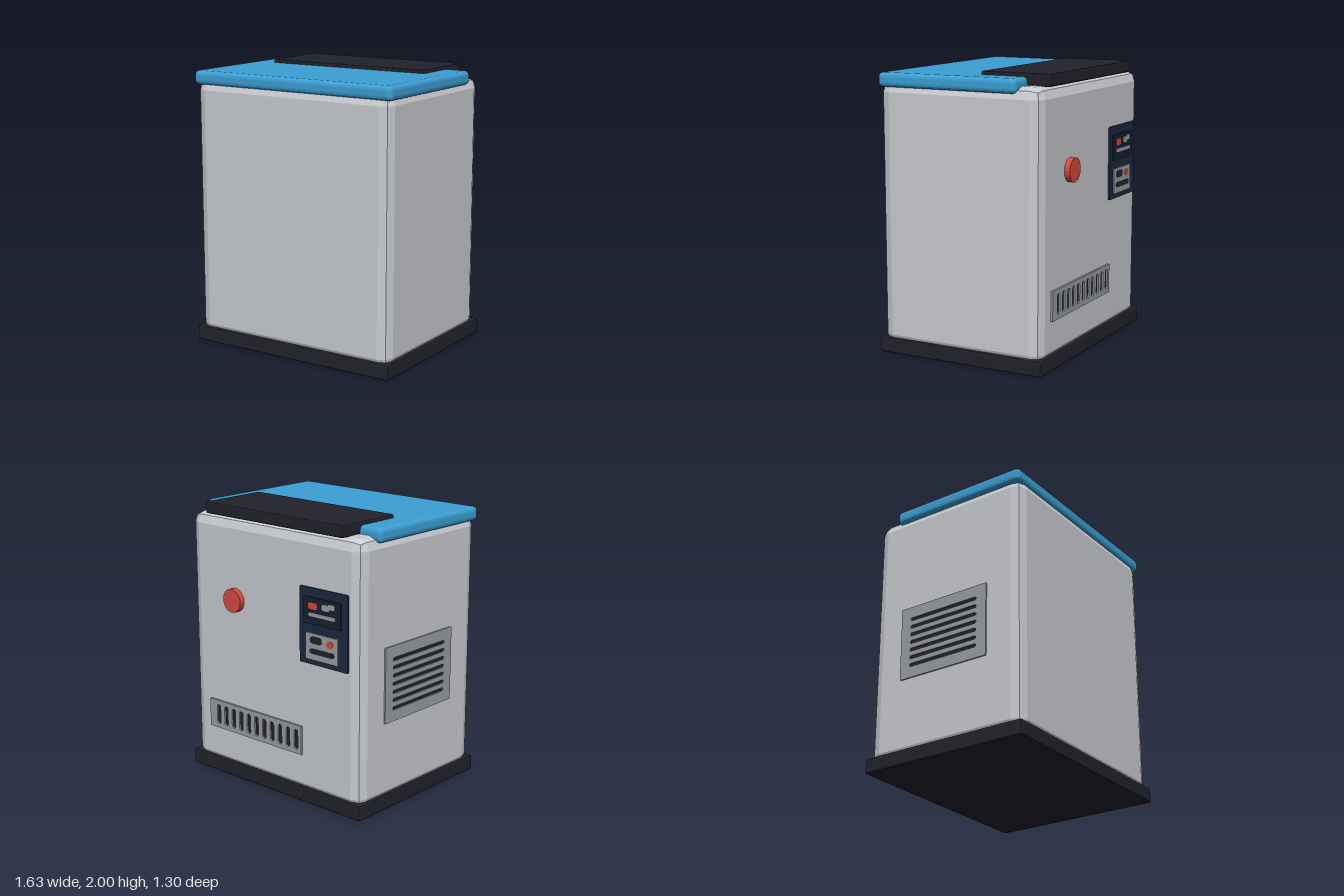
import * as THREE from 'three';
import { RoundedBoxGeometry } from 'three/addons/geometries/RoundedBoxGeometry.js';

const paint = (name, color) => {
  const m = new THREE.MeshStandardMaterial({ color, flatShading: true });
  m.name = name;
  return m;
};

// Rounded rectangle traced as a shape or a hole
function roundRect(path, x, y, w, h, r) {
  const a = x - w / 2, b = x + w / 2, c = y - h / 2, d = y + h / 2, q = Math.PI / 2;
  path.absarc(b - r, c + r, r, -q, 0, false);
  path.absarc(b - r, d - r, r, 0, q, false);
  path.absarc(a + r, d - r, r, q, 2 * q, false);
  path.absarc(a + r, c + r, r, 2 * q, 3 * q, false);
  path.closePath();
  return path;
}

export function createModel() {
  const model = new THREE.Group();
  model.name = 'cabinet';
  const shell = paint('shell grey', 0xc8cbd0);
  const grille = paint('grille grey', 0x999da2);
  const black = paint('soft black', 0x22222c);
  const blue = paint('lid blue', 0x3c9fd4);
  const navy = paint('panel navy', 0x1b2a40);
  const darkNavy = paint('display navy', 0x162031);
  const red = paint('signal red', 0xd64a3e);

  // Bevelled block given by its limits
  function block(name, mat, [x0, x1], [y0, y1], [z0, z1], radius, segments = 1) {
    const geo = new RoundedBoxGeometry(x1 - x0, y1 - y0, z1 - z0, segments, radius);
    const mesh = new THREE.Mesh(geo, mat);
    mesh.name = name;
    mesh.position.set((x0 + x1) / 2, (y0 + y1) / 2, (z0 + z1) / 2);
    model.add(mesh);
  }

  // Flat plate rising from z to z + t, with optional [x, y, w, h] slots
  function plate(parent, name, mat, x, y, w, h, r, z, t, slots = []) {
    const shape = roundRect(new THREE.Shape(), x, y, w, h, r);
    for (const [sx, sy, sw, sh] of slots) {
      shape.holes.push(roundRect(new THREE.Path(), sx, sy, sw, sh, Math.min(sw, sh) * 0.49));
    }
    const geo = new THREE.ExtrudeGeometry(shape, { depth: t, bevelEnabled: false, curveSegments: 5 });
    const mesh = new THREE.Mesh(geo, mat);
    mesh.name = name;
    mesh.position.z = z;
    parent.add(mesh);
  }

  // Main volumes
  block('base', black, [-0.815, 0.815], [0, 0.11], [-0.63, 0.648], 0.014);
  block('body', shell, [-0.797, 0.797], [0.05, 1.92], [-0.61, 0.63], 0.08);
  block('lid', blue, [-0.815, 0.815], [1.875, 1.975], [-0.435, 0.63], 0.032, 2);
  block('topCover', black, [-0.64, 0.64], [1.915, 2], [-0.61, -0.085], 0.012);

  // Back fittings, laid out as seen from behind
  const back = new THREE.Group();
  back.name = 'backFittings';
  back.rotation.y = Math.PI;
  back.position.z = -0.61;
  model.add(back);

  const button = new THREE.Mesh(new THREE.CylinderGeometry(0.085, 0.085, 0.05, 24), red);
  button.name = 'button';
  button.rotation.x = Math.PI / 2;
  button.position.set(-0.355, 1.335, 0.015);
  back.add(button);

  // Control panel with two displays
  plate(back, 'controlPanel', navy, 0.485, 1.285, 0.43, 0.53, 0.008, -0.005, 0.017);
  plate(back, 'upperDisplay', darkNavy, 0.48, 1.395, 0.33, 0.185, 0.008, 0.012, 0.008);
  plate(back, 'upperLamp', red, 0.4, 1.43, 0.085, 0.046, 0.022, 0.02, 0.003);
  plate(back, 'upperKeyLeft', grille, 0.515, 1.435, 0.07, 0.042, 0.012, 0.02, 0.003);
  plate(back, 'upperKeyRight', grille, 0.565, 1.447, 0.06, 0.036, 0.012, 0.02, 0.003);
  plate(back, 'upperBar', grille, 0.48, 1.37, 0.24, 0.025, 0.012, 0.02, 0.003);
  plate(back, 'lowerDisplay', grille, 0.475, 1.148, 0.29, 0.185, 0.008, 0.012, 0.008);
  plate(back, 'lowerKey', black, 0.425, 1.195, 0.105, 0.05, 0.024, 0.02, 0.003);
  plate(back, 'lowerLamp', red, 0.55, 1.188, 0.06, 0.046, 0.022, 0.02, 0.003);
  plate(back, 'lowerBar', black, 0.48, 1.117, 0.22, 0.036, 0.017, 0.02, 0.003);

  // Back vent with upright slots
  const upright = [];
  for (let i = 0; i < 11; i++) upright.push([-0.54 + i * 0.077, 0.445, 0.036, 0.145]);
  plate(back, 'backVentBacking', black, -0.175, 0.445, 0.89, 0.19, 0.005, 0, 0.004);
  plate(back, 'backVent', grille, -0.175, 0.445, 0.91, 0.21, 0.006, -0.005, 0.02, upright);

  // Side vent with level slots
  const side = new THREE.Group();
  side.name = 'sideFittings';
  side.rotation.y = -Math.PI / 2;
  side.position.x = -0.797;
  model.add(side);
  const level = [];
  for (let i = 0; i < 7; i++) level.push([0, 0.715 + i * 0.058, 0.56, 0.024]);
  plate(side, 'sideVentBacking', black, 0, 0.89, 0.7, 0.51, 0.005, 0, 0.004);
  plate(side, 'sideVent', grille, 0, 0.89, 0.72, 0.535, 0.006, -0.005, 0.016, level);

  return model;
}
